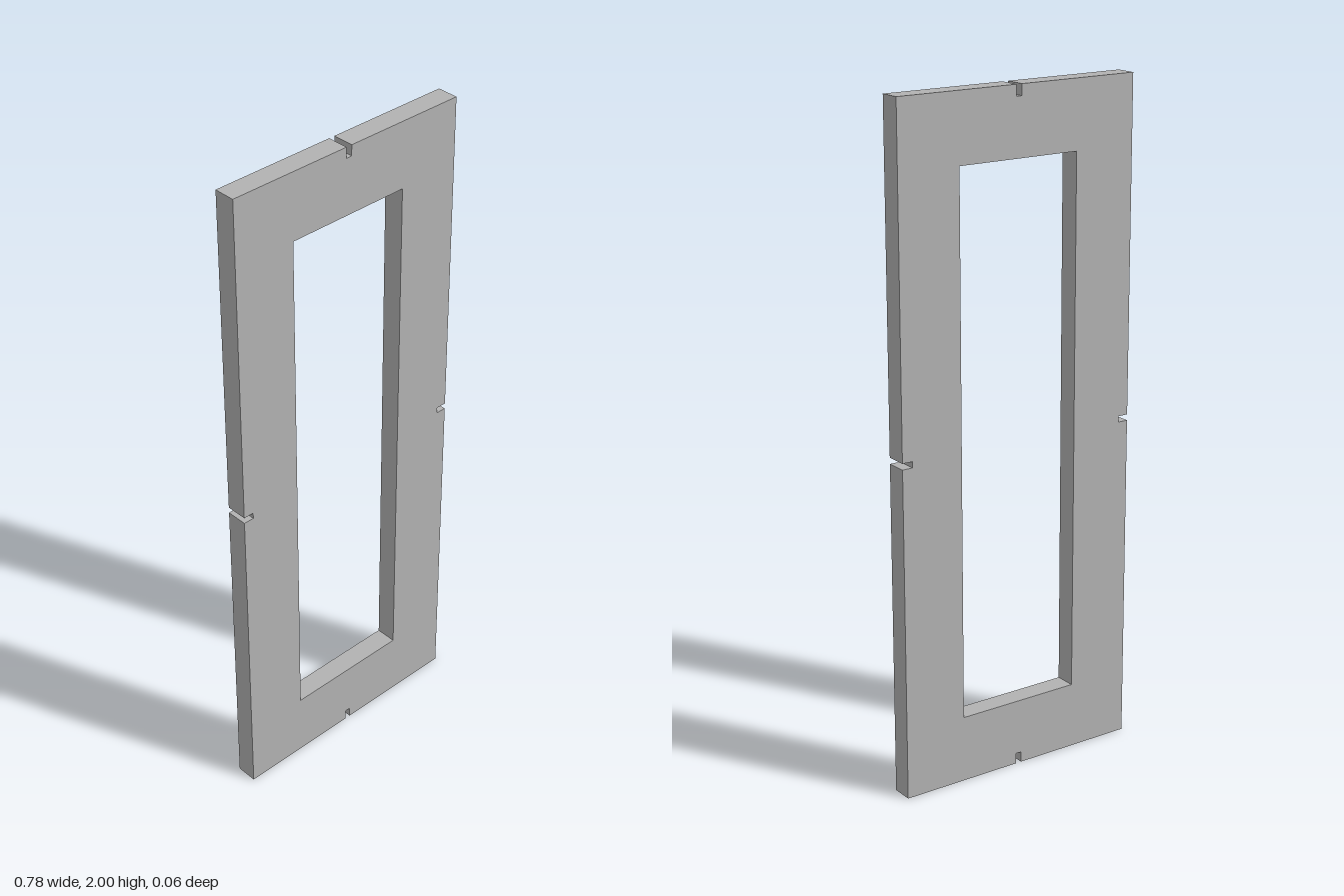
import * as THREE from 'three';

const HALF_W = 0.388, HEIGHT = 2, DEPTH = 0.064;
const HOLE_W = 0.194, BORDER = 0.2;
const NOTCH = 0.009, NOTCH_DEPTH = 0.032;

export function createModel() {
  const group = new THREE.Group();
  group.name = 'framePanel';
  const grey = new THREE.MeshStandardMaterial({ color: 0xb2b2b2 });
  grey.name = 'lightGrey';

  // Outline with a small slot in the middle of each edge, counter-clockwise
  const h = HEIGHT / 2;
  const edges = [
    [-HALF_W, -h, HALF_W, -h],
    [HALF_W, -h, HALF_W, h],
    [HALF_W, h, -HALF_W, h],
    [-HALF_W, h, -HALF_W, -h],
  ];
  const outline = [];
  for (const [x0, y0, x1, y1] of edges) {
    const start = new THREE.Vector2(x0, y0);
    const end = new THREE.Vector2(x1, y1);
    const mid = start.clone().add(end).multiplyScalar(0.5);
    const along = end.clone().sub(start).normalize();
    const inward = new THREE.Vector2(-along.y, along.x);
    const at = (a, d) => mid.clone().addScaledVector(along, a).addScaledVector(inward, d);
    outline.push(start, at(-NOTCH, 0), at(-NOTCH, NOTCH_DEPTH), at(NOTCH, NOTCH_DEPTH), at(NOTCH, 0));
  }
  const shape = new THREE.Shape(outline);

  // Tall rectangular opening
  const oy = h - BORDER;
  shape.holes.push(new THREE.Path([
    new THREE.Vector2(-HOLE_W, -oy),
    new THREE.Vector2(-HOLE_W, oy),
    new THREE.Vector2(HOLE_W, oy),
    new THREE.Vector2(HOLE_W, -oy),
  ]));

  const geometry = new THREE.ExtrudeGeometry(shape, { depth: DEPTH, bevelEnabled: false });
  geometry.translate(0, h, -DEPTH / 2);
  const frame = new THREE.Mesh(geometry, grey);
  frame.name = 'notchedFrame';
  group.add(frame);
  return group;
}
